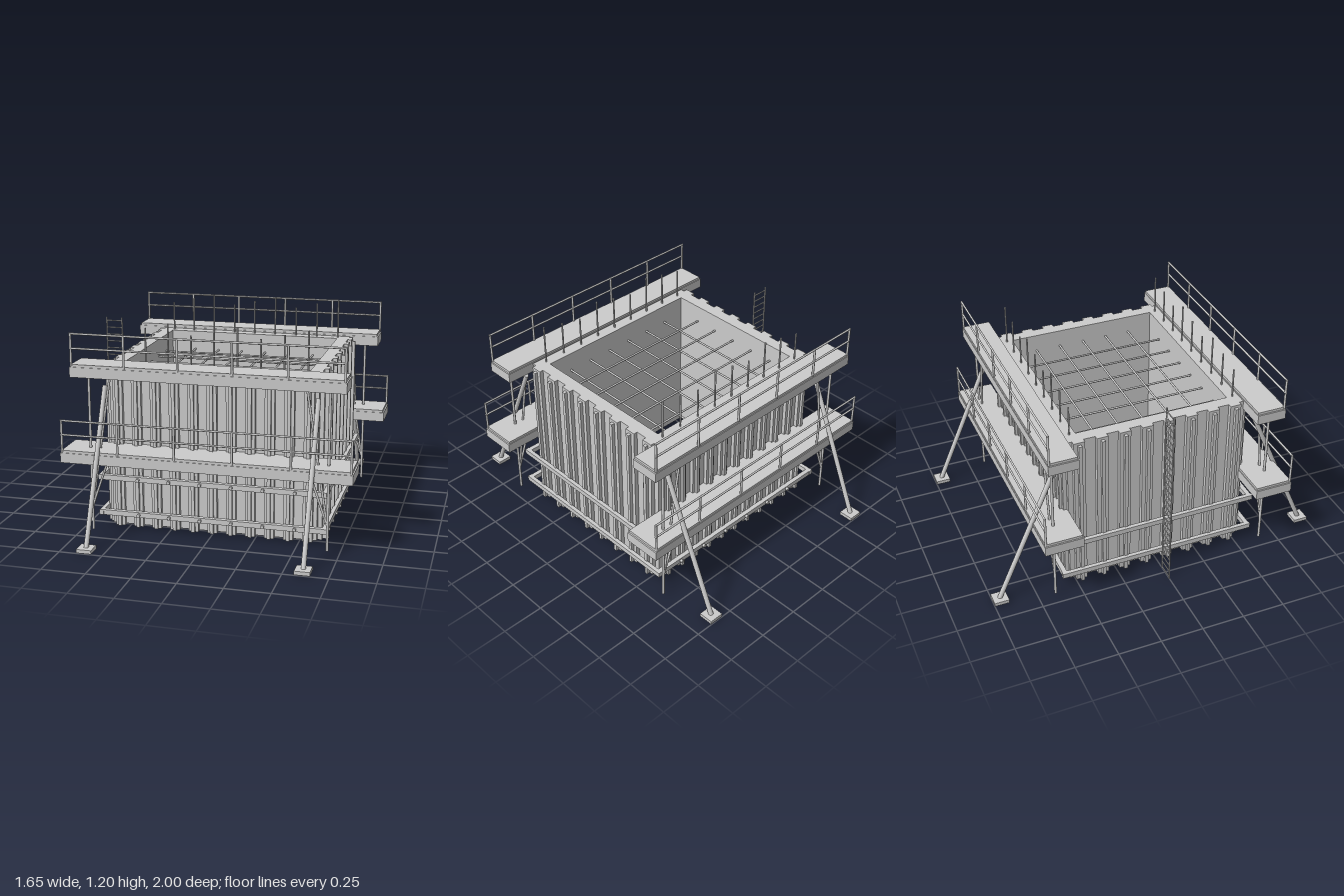
import * as THREE from 'three';

const mat = new THREE.MeshStandardMaterial({ color: 0xcccccc });
const UP = new THREE.Vector3(0, 1, 0);

// Box given by its min and max on each axis
function box(parent, name, x0, x1, y0, y1, z0, z1) {
  const m = new THREE.Mesh(new THREE.BoxGeometry(x1 - x0, y1 - y0, z1 - z0), mat);
  m.position.set((x0 + x1) / 2, (y0 + y1) / 2, (z0 + z1) / 2);
  m.name = name;
  parent.add(m);
  return m;
}

// Round bar between two points
function bar(parent, name, a, b, r, sides = 8) {
  const p = new THREE.Vector3(...a), q = new THREE.Vector3(...b);
  const d = q.clone().sub(p);
  const m = new THREE.Mesh(new THREE.CylinderGeometry(r, r, d.length(), sides), mat);
  m.position.copy(p).add(q).multiplyScalar(0.5);
  m.quaternion.setFromUnitVectors(UP, d.normalize());
  m.name = name;
  parent.add(m);
  return m;
}

function group(parent, name) {
  const g = new THREE.Group();
  g.name = name;
  parent.add(g);
  return g;
}

// Hollow rectangular wall, open at top and bottom
function addWall(root) {
  const rect = (C, x, z) => {
    const s = new C();
    s.moveTo(-x, -z); s.lineTo(x, -z); s.lineTo(x, z); s.lineTo(-x, z); s.closePath();
    return s;
  };
  const shape = rect(THREE.Shape, 0.6, 0.53);
  shape.holes.push(rect(THREE.Path, 0.53, 0.455));
  const geo = new THREE.ExtrudeGeometry(shape, { depth: 0.95, bevelEnabled: false });
  geo.rotateX(-Math.PI / 2);
  const m = new THREE.Mesh(geo, mat);
  m.position.y = 0.015;
  m.name = 'wallShell';
  root.add(m);
}

// Stepped vertical studs along all four faces
function addStuds(root) {
  const g = group(root, 'studs');
  for (const s of [-1, 1]) {
    for (let i = 0; i < 11; i++) {
      const x = -0.55 + i * 0.11;
      box(g, 'studBase', x - 0.028, x + 0.028, 0.01, 0.965, s * 0.54 - 0.012, s * 0.54 + 0.012);
      box(g, 'studRib', x - 0.01, x + 0.01, 0.01, 0.95, s * 0.555 - 0.012, s * 0.555 + 0.012);
    }
    for (let i = 0; i < 8; i++) {
      const z = -0.4667 + i * 0.13333;
      box(g, 'studBase', s * 0.61 - 0.014, s * 0.61 + 0.014, 0.01, 0.965, z - 0.033, z + 0.033);
      box(g, 'studRib', s * 0.63 - 0.014, s * 0.63 + 0.014, 0.01, 0.95, z - 0.01, z + 0.01);
    }
  }
}

// Horizontal walers with tie bolts
function addWalers(root) {
  const g = group(root, 'walers');
  for (const y of [0.095, 0.308]) {
    for (const s of [-1, 1]) {
      box(g, 'longWaler', -0.66, 0.66, y - 0.015, y + 0.015, s * 0.578 - 0.014, s * 0.578 + 0.014);
      box(g, 'sideWaler', s * 0.65 - 0.012, s * 0.65 + 0.012, y - 0.015, y + 0.015, -0.595, 0.595);
      for (let i = 0; i < 6; i++) {
        const x = -0.425 + i * 0.182;
        bar(g, 'tieBolt', [x, y, s * 0.55], [x, y, s * 0.607], 0.01);
      }
    }
  }
}

// Work platform with a two-rail guard on its outer edge
function addPlatform(root, name, s, halfX, zOut, y0, y1) {
  const g = group(root, name);
  const zc = s * (0.525 + zOut) / 2, d = (zOut - 0.525) / 2;
  box(g, 'platformFrame', -halfX, halfX, y0, y1 - 0.015, zc - d, zc + d);
  box(g, 'deck', -halfX + 0.008, halfX - 0.008, y1 - 0.015, y1, zc - d + 0.004, zc + d - 0.004);
  const hx = halfX - 0.01, z = s * (zOut - 0.007);
  for (let i = 0; i < 6; i++) {
    const x = -hx + (2 * hx * i) / 5;
    bar(g, 'railPost', [x, y1 - 0.01, z], [x, y1 + 0.175, z], 0.007);
  }
  for (const h of [0.09, 0.172]) bar(g, 'guardRail', [-hx - 0.006, y1 + h, z], [hx + 0.006, y1 + h, z], 0.006);
}

// Posts and diagonals carrying the platforms, and the raking props
function addSupports(root) {
  const g = group(root, 'supports');
  for (const sx of [-1, 1]) for (const sz of [-1, 1]) {
    const z = sz * 0.65, px = sx * 0.607;
    bar(g, 'platformPost', [sx * 0.68, 0.01, z], [sx * 0.68, 0.92, z], 0.008);
    bar(g, 'upperBrace', [sx * 0.555, 0.92, z], [sx * 0.675, 0.17, z], 0.007);
    bar(g, 'lowerBrace', [sx * 0.57, 0.46, z], [sx * 0.68, 0.15, z], 0.007);
    bar(g, 'rakingProp', [px, 0.02, sz * 0.957], [px, 0.852, sz * 0.592], 0.014, 12);
    box(g, 'propFoot', px - 0.043, px + 0.043, 0.003, 0.024, sz * 0.957 - 0.043, sz * 0.957 + 0.043);
  }
}

// Reinforcing mesh inside and starter bars out of the wall top
function addRebar(root) {
  const g = group(root, 'reinforcement');
  const y = 0.85;
  for (let i = 0; i < 6; i++) {
    const x = -0.38 + i * 0.152;
    bar(g, 'meshBar', [x, y, -0.46], [x, y, 0.46], 0.006);
  }
  for (let i = 0; i < 5; i++) {
    const z = -0.304 + i * 0.152;
    bar(g, 'meshBar', [-0.535, y + 0.01, z], [0.535, y + 0.01, z], 0.006);
  }
  for (const z of [-0.49, 0.49]) for (let i = 0; i < 9; i++) {
    const x = -0.53 + i * 0.1325;
    bar(g, 'starterBar', [x, 0.9, z], [x, 1.14 + (i % 3) * 0.03, z], 0.005);
  }
}

// Access ladder
function addLadder(root) {
  const g = group(root, 'ladder');
  for (const x of [-0.806, -0.71]) bar(g, 'ladderRail', [x, 0, 0], [x, 1.122, 0], 0.005);
  for (let i = 0; i < 27; i++) {
    const y = 0.01 + i * 0.042;
    bar(g, 'rung', [-0.806, y, 0], [-0.71, y, 0], 0.004, 6);
  }
}

export function createModel() {
  const root = new THREE.Group();
  root.name = 'wallFormwork';
  addWall(root);
  addStuds(root);
  addWalers(root);
  for (const s of [-1, 1]) {
    addPlatform(root, 'upperPlatform', s, 0.775, 0.697, 0.914, 0.987);
    addPlatform(root, 'lowerPlatform', s, 0.827, 0.748, 0.43, 0.502);
  }
  addSupports(root);
  addRebar(root);
  addLadder(root);
  return root;
}
